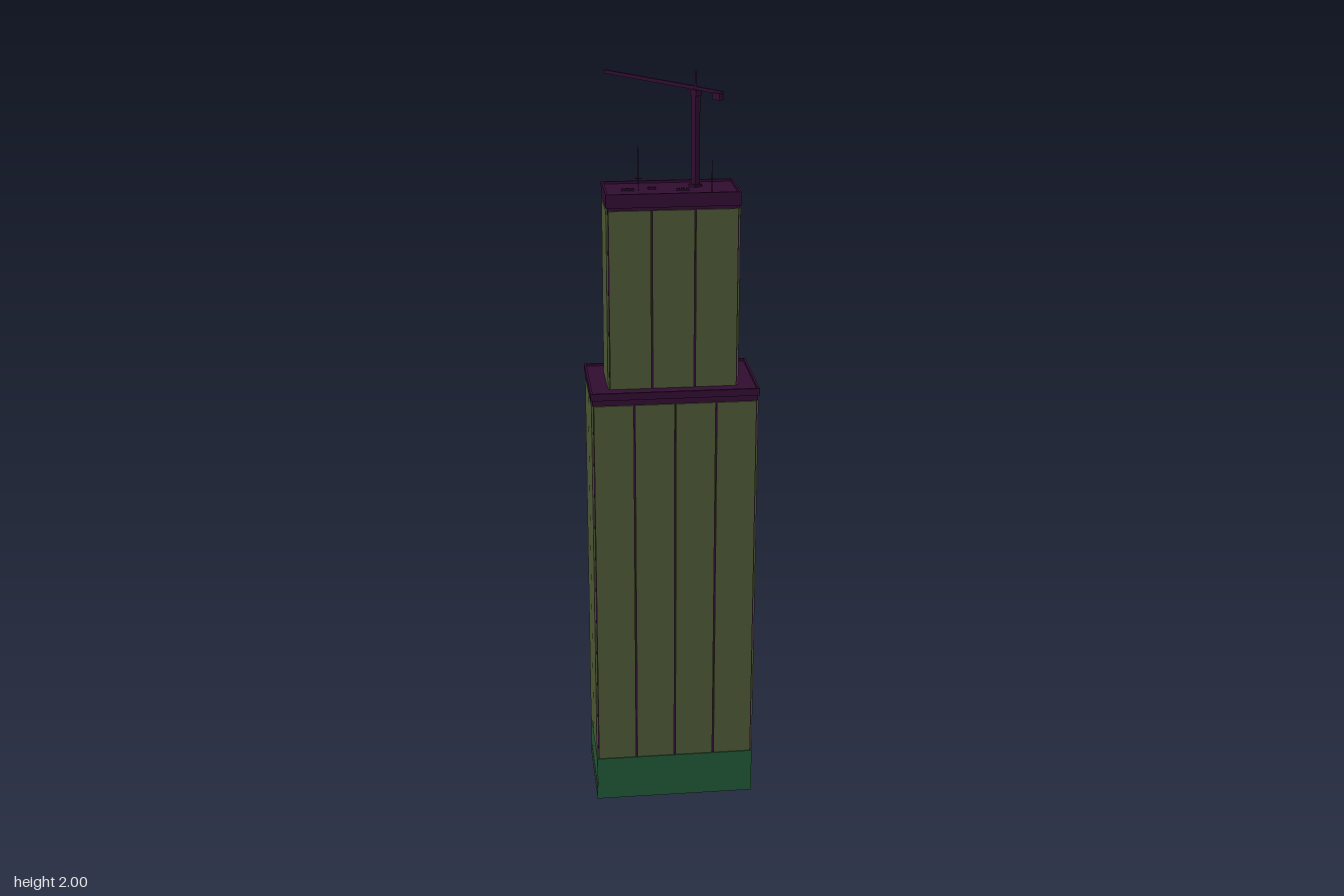
import * as THREE from 'three';

const mat = (color) => new THREE.MeshStandardMaterial({ color });
const OLIVE = mat(0x4a5533), PLUM = mat(0x300c30), GLASS = mat(0x205435), GREY = mat(0x343a34);
const CZ = 0.09; // the tower stands forward of the origin

function add(parent, name, geometry, material, x = 0, y = 0, z = 0) {
  const mesh = new THREE.Mesh(geometry, material);
  mesh.name = name;
  mesh.position.set(x, y, z);
  parent.add(mesh);
  return mesh;
}

// Box given by its size, centre x/z and bottom height
const block = (parent, name, material, w, h, d, x, y, z) =>
  add(parent, name, new THREE.BoxGeometry(w, h, d), material, x, y + h / 2, z);

// Rectangular wall ring, open above and below
function ring(parent, name, material, hx, hz, t, y, h) {
  const rect = (Type, a, b) => {
    const p = new Type();
    p.moveTo(-a, -b); p.lineTo(a, -b); p.lineTo(a, b); p.lineTo(-a, b); p.closePath();
    return p;
  };
  const shape = rect(THREE.Shape, hx, hz);
  shape.holes.push(rect(THREE.Path, hx - t, hz - t));
  const g = new THREE.ExtrudeGeometry(shape, { depth: h, bevelEnabled: false });
  g.rotateX(-Math.PI / 2);
  return add(parent, name, g, material, 0, y, CZ);
}

// Dark core with facade panels separated by narrow seams
function shaft(parent, name, hx, hz, y0, y1, nFront, nSide) {
  const group = new THREE.Group();
  group.name = name;
  parent.add(group);
  const h = y1 - y0, t = 0.004, seam = 0.004;
  block(group, 'core', PLUM, 2 * (hx - t), h, 2 * (hz - t), 0, y0, CZ);
  const wF = 2 * (hx - t) / nFront, wS = 2 * (hz - t) / nSide;
  for (const s of [-1, 1]) {
    for (let i = 0; i < nFront; i++)
      block(group, 'facadePanel', OLIVE, wF - seam, h - seam, t, (i + 0.5 - nFront / 2) * wF, y0 + seam / 2, CZ + s * (hz - t / 2));
    for (let i = 0; i < nSide; i++)
      block(group, 'sidePanel', OLIVE, t, h - seam, wS - seam, s * (hx - t / 2), y0 + seam / 2, CZ + (i + 0.5 - nSide / 2) * wS);
  }
}

// Roof slab on a recessed neck, ringed by a low parapet
function cap(parent, name, hx, hz, y0, y1, neck) {
  const group = new THREE.Group();
  group.name = name;
  parent.add(group);
  const rim = 0.006;
  block(group, 'neck', PLUM, 2 * hx - 0.008, neck, 2 * hz - 0.008, 0, y0, CZ);
  block(group, 'roofSlab', PLUM, 2 * hx - 0.004, y1 - y0 - neck - rim, 2 * hz - 0.004, 0, y0 + neck, CZ);
  ring(group, 'parapet', PLUM, hx, hz, 0.006, y0 + neck, y1 - y0 - neck);
}

function crane() {
  const group = new THREE.Group();
  group.name = 'crane';
  group.position.set(0.067, 0, 0.067);
  group.rotation.y = 0.63; // local -z is the jib direction
  block(group, 'mast', PLUM, 0.016, 0.24, 0.016, 0, 1.705, 0);
  block(group, 'mastFoot', PLUM, 0.024, 0.008, 0.024, 0, 1.705, 0);
  block(group, 'slewingUnit', PLUM, 0.02, 0.016, 0.022, 0, 1.938, 0);
  block(group, 'cab', PLUM, 0.012, 0.016, 0.014, 0.012, 1.938, -0.006);
  block(group, 'jib', PLUM, 0.008, 0.009, 0.351, 0, 1.953, -0.1755);
  block(group, 'counterJib', PLUM, 0.006, 0.008, 0.096, 0, 1.953, 0.048);
  block(group, 'counterweight', PLUM, 0.014, 0.017, 0.026, 0, 1.938, 0.08);
  add(group, 'towerPeak', new THREE.CylinderGeometry(0.002, 0.005, 0.045, 4), PLUM, 0, 1.9775, 0);
  return group;
}

export function createModel() {
  const model = new THREE.Group();
  model.name = 'skyscraper';

  // Hollow lobby, open underneath
  ring(model, 'lobbyWalls', GLASS, 0.217, 0.125, 0.003, 0, 0.127);
  block(model, 'backPlinth', GREY, 0.434, 0.04, 0.002, 0, 0, CZ - 0.125);
  block(model, 'sidePlinth', GREY, 0.002, 0.04, 0.25, -0.217, 0, CZ);

  // Two stacked tower sections
  shaft(model, 'lowerShaft', 0.218, 0.1255, 0.127, 1.172, 4, 2);
  cap(model, 'lowerCap', 0.22, 0.1275, 1.172, 1.205, 0.014);
  shaft(model, 'upperShaft', 0.171, 0.078, 1.195, 1.672, 3, 1);
  cap(model, 'upperCap', 0.1715, 0.079, 1.672, 1.713, 0.006);

  // Rooftop service units in short rows: x, z, count
  for (const [x, z, n] of [[-0.11, 0.1, 3], [-0.047, 0.09, 2], [0.03, 0.11, 3]])
    for (let i = 0; i < n; i++)
      block(model, 'roofUnit', PLUM, 0.009, 0.006, 0.006, x + (i - (n - 1) / 2) * 0.012, 1.707, z);

  // Thin aerials: x, z, top
  for (const [x, z, top] of [[-0.083, 0.1, 1.82], [0.1, 0.14, 1.79]]) {
    const h = top - 1.706;
    add(model, 'aerial', new THREE.CylinderGeometry(0.0008, 0.0012, h, 6), PLUM, x, 1.706 + h / 2, z);
  }
  block(model, 'aerialArm', PLUM, 0.016, 0.002, 0.002, -0.083, 1.737, 0.1);

  model.add(crane());
  return model;
}
